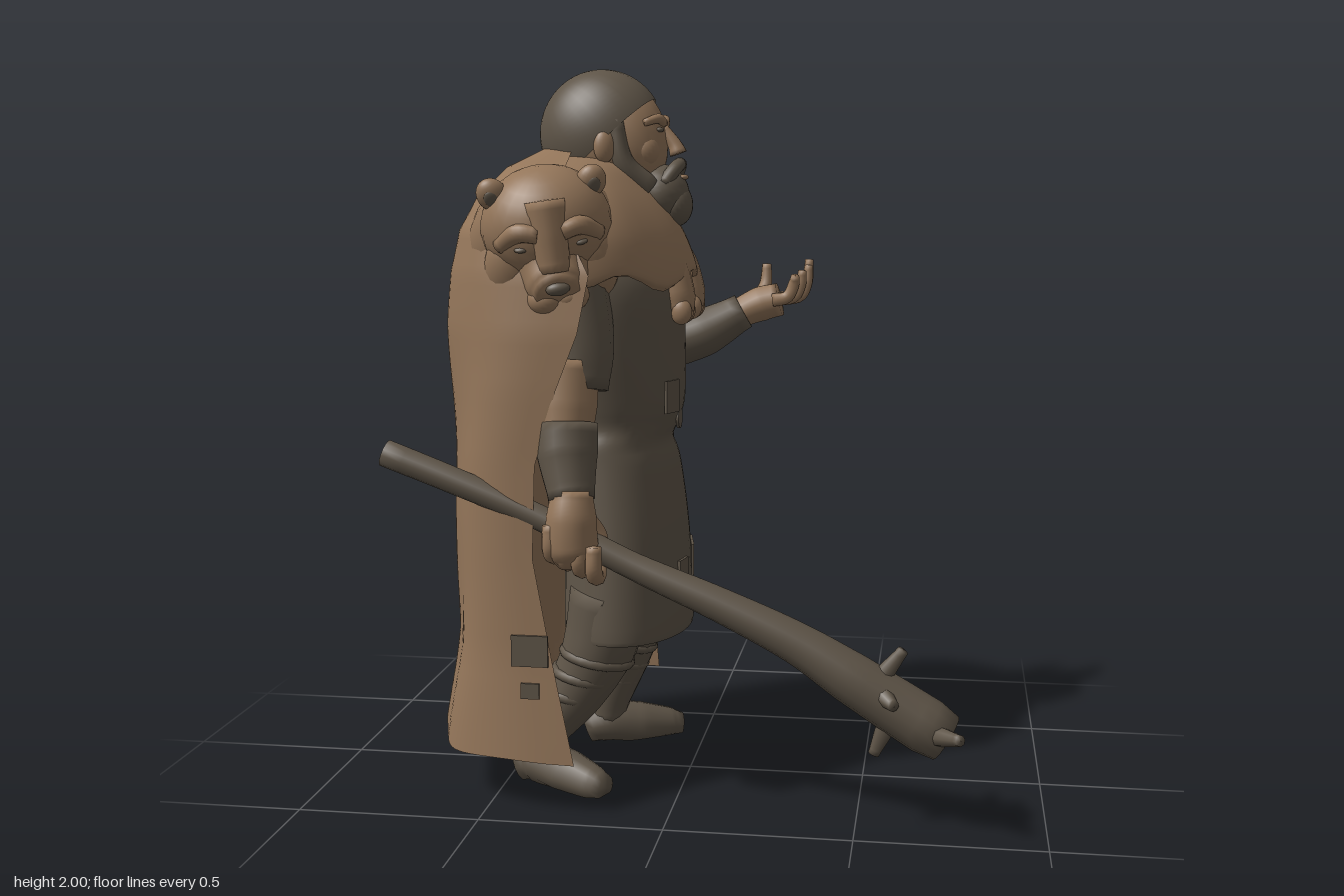
import * as THREE from 'three';
import { mergeVertices } from 'three/addons/utils/BufferGeometryUtils.js';

const tan = new THREE.MeshStandardMaterial({ color: 0x94765a, side: THREE.DoubleSide });
tan.name = 'tan hide and skin';
const dark = new THREE.MeshStandardMaterial({ color: 0x5f5548, side: THREE.DoubleSide });
dark.name = 'dark brown';

const V = (x, y, z) => new THREE.Vector3(x, y, z);

function add(parent, name, geo, mat) {
  const m = new THREE.Mesh(geo, mat);
  m.name = name;
  parent.add(m);
  return m;
}

// Grid of points to a smooth surface
function surface(rows, cols, fn, closed) {
  const pos = [], idx = [], w = closed ? cols : cols + 1;
  for (let j = 0; j <= rows; j++)
    for (let i = 0; i < w; i++) pos.push(...fn(i / cols, j / rows));
  for (let j = 0; j < rows; j++)
    for (let i = 0; i < cols; i++) {
      const k = (i + 1) % w, a = j * w + i, b = j * w + k;
      idx.push(a, a + w, b, b, a + w, b + w);
    }
  const g = new THREE.BufferGeometry();
  g.setAttribute('position', new THREE.Float32BufferAttribute(pos, 3));
  g.setIndex(idx);
  g.computeVertexNormals();
  return g;
}

// Upright body from rings [cx, y, cz, rx, rz]; optional wavy lower edge
function loft(rings, wave = 0) {
  const c = new THREE.CatmullRomCurve3(rings.map(r => V(r[0], r[1], r[2])), false, 'catmullrom');
  const s = new THREE.CatmullRomCurve3(rings.map(r => V(r[3], r[4], 0)), false, 'catmullrom');
  return surface(rings.length * 4, 48, (u, v) => {
    const p = c.getPoint(v), r = s.getPoint(v), a = u * Math.PI * 2;
    const w = wave * Math.sin(a * 7 + 1) * (1 - v) ** 2, k = 1 + w * .5;
    return [p.x + r.x * k * Math.cos(a), p.y + w, p.z + r.y * k * Math.sin(a)];
  }, true);
}

// Rounded limb through [x, y, z, radius]; floor flattens soles
function limb(pts, sides = 14, floor = -Infinity) {
  const curve = new THREE.CatmullRomCurve3(pts.map(p => V(p[0], p[1], p[2])));
  const seg = pts.length * 5, g = new THREE.TubeGeometry(curve, seg, 1, sides);
  const pos = g.attributes.position, v = V(0, 0, 0);
  for (let j = 0; j <= seg; j++) {
    const c = curve.getPointAt(j / seg), t = curve.getUtoTmapping(j / seg) * (pts.length - 1);
    const k = Math.min(Math.floor(t), pts.length - 2);
    let r = THREE.MathUtils.lerp(pts[k][3], pts[k + 1][3], t - k);
    if (j === 0 || j === seg) r = 0.0005;
    // Rings beside the tips move outwards to blunt the ends
    const end = j === 1 ? .25 / seg : j === seg - 1 ? 1 - .25 / seg : j / seg;
    const moved = curve.getPointAt(end);
    for (let i = 0; i <= sides; i++) {
      const n = j * (sides + 1) + i;
      v.fromBufferAttribute(pos, n).sub(c).multiplyScalar(r).add(moved);
      pos.setXYZ(n, v.x, Math.max(floor, v.y), v.z);
    }
  }
  g.deleteAttribute('normal');
  g.deleteAttribute('uv');
  const out = mergeVertices(g, 1e-5);
  out.computeVertexNormals();
  return out;
}

function ball(parent, name, mat, p, r, tilt = [0, 0, 0]) {
  const m = add(parent, name, new THREE.SphereGeometry(1, 24, 16), mat);
  m.position.set(...p);
  m.scale.set(...r);
  m.rotation.set(...tilt);
  return m;
}

const tunicRings = [
  [-.18, .43, -.015, .17, .285], [-.18, .45, -.015, .182, .295], [-.185, .7, -.015, .175, .28],
  [-.205, .9, -.015, .17, .262], [-.22, .97, -.01, .165, .25], [-.215, 1.02, -.01, .178, .235],
  [-.215, 1.09, -.01, .195, .25], [-.23, 1.25, -.01, .21, .285], [-.26, 1.42, -.01, .23, .3],
  [-.3, 1.55, -.02, .2, .25]];

// Thin plate lying on the front of the tunic
function tunicPlate(g, y, z, w, h, round) {
  let i = 0;
  while (tunicRings[i + 1][1] < y) i++;
  const A = tunicRings[i], B = tunicRings[i + 1], t = (y - A[1]) / (B[1] - A[1]);
  const [cx, , cz, rx, rz] = A.map((a, k) => THREE.MathUtils.lerp(a, B[k], t));
  const s = (z - cz) / rz, c = Math.sqrt(1 - s * s);
  const geo = round ? new THREE.CylinderGeometry(w / 2, w / 2, .008, 16).rotateX(Math.PI / 2)
    : new THREE.BoxGeometry(w, h, .008);
  const m = add(g, 'tunicPlate', geo, dark);
  m.position.set(cx + rx * c + .002, y, z);
  m.rotation.y = Math.atan2(c / rx, s / rz);
}

function buildHead(g) {
  ball(g, 'face', tan, [-.205, 1.79, -.04], [.135, .175, .118]);
  ball(g, 'nape', tan, [-.255, 1.79, -.04], [.165, .155, .134]);
  add(g, 'neck', limb([[-.28, 1.5, -.03, .13], [-.22, 1.62, -.035, .12], [-.21, 1.76, -.04, .1]]), tan);
  // Cropped hair, tilted back so the brow and temples stay clear
  const hair = new THREE.SphereGeometry(1, 32, 20, 0, Math.PI * 2, 0, 1.75).rotateZ(.75).scale(.178, .18, .146);
  add(g, 'hair', hair, dark).position.set(-.255, 1.82, -.04);
  add(g, 'nose', limb([[-.085, 1.84, -.04, .014], [-.05, 1.79, -.04, .02], [-.04, 1.765, -.04, .026]]), tan);
  ball(g, 'beard', dark, [-.09, 1.655, -.04], [.08, .085, .092], [0, 0, .35]);
  ball(g, 'beardTip', dark, [-.045, 1.625, -.04], [.045, .06, .068]);
  ball(g, 'lip', tan, [-.026, 1.702, -.04], [.014, .008, .026]);
  for (const s of [1, -1]) {
    const z = d => -.04 + s * d;
    add(g, 'brow', limb([[-.08, 1.85, z(.015), .013], [-.088, 1.862, z(.05), .014], [-.12, 1.85, z(.09), .01]]), tan);
    ball(g, 'eye', dark, [-.086, 1.832, z(.042)], [.012, .007, .017]);
    ball(g, 'cheek', tan, [-.13, 1.775, z(.05)], [.045, .05, .045]);
    ball(g, 'ear', tan, [-.225, 1.785, z(.133)], [.03, .045, .02], [0, s * .4, 0]);
    add(g, 'moustache', limb([[-.035, 1.74, z(0), .018], [-.045, 1.725, z(.035), .02], [-.075, 1.68, z(.065), .02]]), dark);
    add(g, 'sideburn', limb([[-.2, 1.86, z(.112), .022], [-.175, 1.74, z(.105), .03], [-.11, 1.67, z(.07), .035]]), dark);
  }
}

function buildLion(g) {
  const L = new THREE.Group();
  L.name = 'lionHeadHood';
  L.position.set(-.335, 1.55, .31);
  L.rotation.set(.48, .3, 0);
  L.scale.setScalar(1.12);
  g.add(L);
  ball(L, 'lionSkull', tan, [0, .03, 0], [.155, .14, .14]);
  ball(L, 'lionMane', tan, [0, -.05, -.05], [.19, .19, .13]);
  add(L, 'lionMuzzle', limb([[0, .0, .03, .1], [0, -.045, .1, .082], [0, -.062, .15, .068], [0, -.068, .18, .045]], 20), tan);
  ball(L, 'lionJaw', tan, [0, -.135, .08], [.07, .06, .08]);
  add(L, 'lionChinMane', limb([[0, -.08, 0, .12], [.015, -.16, .07, .09], [.025, -.21, .13, .06], [.03, -.23, .15, .03]]), tan);
  ball(L, 'lionNose', dark, [0, -.04, .186], [.028, .016, .016]);
  add(L, 'lionNoseBridge', limb([[0, .13, .07, .05], [0, .055, .11, .045], [0, -.02, .15, .036]]), tan);
  ball(L, 'lionMouth', dark, [0, -.118, .15], [.04, .007, .025]);
  for (const s of [1, -1]) {
    ball(L, 'lionEar', tan, [s * .115, .125, .0], [.036, .042, .028], [0, 0, -s * .4]);
    ball(L, 'lionEarInner', dark, [s * .118, .125, .022], [.017, .021, .008], [0, 0, -s * .4]);
    add(L, 'lionBrow', limb([[s * .025, .07, .125, .02], [s * .07, .075, .11, .023], [s * .115, .03, .075, .02]]), tan);
    ball(L, 'lionEye', dark, [s * .068, .037, .118], [.017, .007, .012]);
    ball(L, 'lionCheek', tan, [s * .085, -.06, .04], [.075, .11, .07]);
    ball(L, 'lionWhiskerPad', tan, [s * .028, -.085, .145], [.045, .038, .042]);
  }
}

function buildCape(g) {
  // Levels: y, back x, right edge x, left edge x, right z, left z
  const levels = [[.14, -.7, -.25, -.18, .44, -.52], [.42, -.655, -.31, -.2, .425, -.505],
    [.7, -.64, -.36, -.2, .425, -.485], [.95, -.64, -.35, -.19, .43, -.48], [1.15, -.65, -.29, -.14, .44, -.49],
    [1.3, -.66, -.23, -.09, .445, -.5], [1.45, -.655, -.2, -.13, .435, -.48], [1.56, -.63, -.26, -.26, .4, -.45],
    [1.65, -.58, -.29, -.29, .34, -.395], [1.73, -.5, -.31, -.31, .2, -.25], [1.78, -.4, -.32, -.32, .06, -.12]];
  const n = levels.length - 1;
  const geo = surface(n * 5, 56, (u, v) => {
    const i = Math.min(n - 1, Math.floor(v * n));
    const [y, xb, xp, xn, zp, zn] = levels[i].map((a, k) => THREE.MathUtils.lerp(a, levels[i + 1][k], v * n - i));
    const s = Math.max(0, Math.sin(u * Math.PI)), xf = THREE.MathUtils.lerp(xp, xn, u);
    // Gentle folds, fuller on the right of the back
    const fold = s * (.012 * Math.sin(u * 22 + y * 3) * (1.2 - y * .6) + .006 * Math.sin(y * 11 + u * 9))
      - .018 * Math.sin(u * Math.PI * 2);
    const z = (zp + zn) / 2 + (zp - zn) / 2 * Math.cos(u * Math.PI);
    const hem = .006 * Math.sin(u * 20) * Math.max(0, 1 - v * 5);
    return [xf - (xf - xb) * Math.pow(s, .62) + fold, y + hem, z];
  }, false);
  add(g, 'cape', geo, tan);
  add(g, 'mantle', loft([[-.31, 1.42, -.03, .305, .41], [-.31, 1.44, -.03, .32, .425], [-.31, 1.53, -.03, .29, .425],
    [-.315, 1.61, -.03, .25, .39], [-.32, 1.68, -.03, .2, .32], [-.32, 1.74, -.03, .14, .2],
    [-.32, 1.765, -.03, .06, .08]], .025), tan);
  ball(g, 'collar', dark, [-.065, 1.505, .02], [.055, .042, .08]);
  add(g, 'capeSleeve', limb([[-.32, 1.42, -.36, .1], [-.2, 1.36, -.385, .12], [-.08, 1.27, -.41, .095]]), tan);
  // Hide paws knotted on the chest
  for (const z of [.06, -.13]) {
    add(g, 'hidePaw', limb([[-.11, 1.55, z * 1.1, .04], [-.05, 1.46, z, .048], [-.03, 1.38, z, .052], [-.025, 1.33, z, .045]]), tan);
    for (const d of [-.033, 0, .033]) ball(g, 'pawToe', tan, [-.012, 1.335, z + d], [.03, .036, .021]);
  }
  for (const [y, w] of [[.45, .1], [.34, .05]])
    add(g, 'capePatch', new THREE.BoxGeometry(w, w * .85, .008), dark).position.set(-.37, y, .43);
}

function buildLegs(g) {
  for (const [z, s, dx] of [[.16, 1, -.12], [-.21, -1, 0]]) {
    add(g, 'leg', limb([[-.2, .56, z, .115], [-.21 + dx * .2, .4, z, .105], [-.24 + dx * .5, .27, z, .085],
      [-.28 + dx, .13, z, .062], [-.29 + dx, .05, z, .05]]), dark);
    // Wrapped leggings
    for (let i = 0; i < 4; i++) {
      const b = add(g, 'legWrap', new THREE.TorusGeometry(.094 - i * .011, .015, 8, 24), dark);
      b.position.set(-.212 - i * .016 + dx * (.25 + i * .17), .37 - i * .055, z);
      b.rotation.set(Math.PI / 2, -.2, 0);
    }
    add(g, 'boot', limb([[-.35 + dx, .04, z - s * .01, .05], [-.3 + dx, .055, z, .063], [-.2 + dx, .04, z + s * .05, .065],
      [-.11 + dx, .025, z + s * .1, .05], [-.075 + dx, .02, z + s * .115, .03]], 14, 0), dark);
  }
}

function buildArms(g) {
  // Lowered right arm gripping the club
  add(g, 'rightSleeve', limb([[-.3, 1.42, .28, .12], [-.26, 1.25, .31, .1], [-.26, 1.14, .33, .085]]), dark);
  add(g, 'rightElbow', limb([[-.28, 1.22, .335, .088], [-.28, 1.1, .36, .085], [-.28, 1.02, .38, .075]]), tan);
  add(g, 'rightBracer', limb([[-.275, 1.06, .37, .084], [-.27, .98, .39, .083], [-.25, .86, .43, .06]]), dark);
  add(g, 'rightHand', limb([[-.25, .89, .43, .054], [-.25, .82, .44, .068], [-.25, .74, .435, .072], [-.24, .7, .425, .045]]), tan);
  for (let i = 0; i < 4; i++) {
    const x = -.3 + i * .038, y = .785 - i * .018;
    add(g, 'rightFinger', limb([[x, y + .02, .47, .022], [x, y - .05, .468, .024], [x, y - .075, .41, .022], [x, y - .05, .37, .016]], 8), tan);
  }
  add(g, 'rightThumb', limb([[-.23, .82, .4, .028], [-.19, .76, .38, .024], [-.18, .71, .4, .02]], 8), tan);
  // Raised left arm with open palm
  add(g, 'leftBracer', limb([[-.12, 1.2, -.42, .078], [-.02, 1.235, -.425, .075], [.1, 1.3, -.44, .053]]), dark);
  add(g, 'leftPalm', limb([[.08, 1.29, -.435, .045], [.15, 1.32, -.445, .054], [.21, 1.335, -.445, .05]]), tan);
  for (let i = 0; i < 4; i++) {
    const z = -.49 + i * .033, r = .27 + .02 * Math.sin(i + 1);
    add(g, 'leftFinger', limb([[.19, 1.335, z, .02], [r - .02, 1.345, z, .018], [r, 1.385, z, .017],
      [r + .005, 1.455 - i * .015, z + (i - 1.5) * .008, .012]], 8), tan);
  }
  add(g, 'leftThumb', limb([[.13, 1.33, -.48, .024], [.155, 1.37, -.51, .021], [.16, 1.44, -.52, .014]], 8), tan);
}

function buildClub(g) {
  add(g, 'club', limb([[-.775, .975, .4, .037], [-.6, .91, .4, .036], [-.35, .81, .4, .034], [-.1, .69, .405, .036], [.15, .585, .405, .046],
    [.35, .49, .405, .056], [.48, .41, .405, .068], [.6, .335, .4, .073], [.69, .28, .4, .075], [.74, .25, .4, .05]]), dark);
  const knots = [[.54, .38, .4, .62, .49, .41], [.59, .31, .4, .545, .2, .4], [.62, .32, .37, .645, .33, .27],
    [.7, .27, .43, .77, .29, .525], [.56, .38, .43, .6, .36, .49]];
  for (const [a, b, c, d, e, f] of knots)
    add(g, 'clubKnot', limb([[a, b, c, .03], [(a + d) / 2, (b + e) / 2, (c + f) / 2, .023], [d, e, f, .014]], 8), dark);
}

export function createModel() {
  const g = new THREE.Group();
  g.name = 'clubBearer';
  add(g, 'tunic', loft(tunicRings), dark);
  add(g, 'tunicHem', surface(1, 48, (u, v) => {
    const a = -u * Math.PI * 2;
    return [-.18 + .17 * v * Math.cos(a), .43, -.015 + .285 * v * Math.sin(a)];
  }, true), dark);
  for (const [y, z, w, h, round] of [[.59, .07, .07, .09], [.61, -.1, .14, .09], [.63, -.25, .06, .09],
    [1.1, .1, .07, .09], [1.03, 0, .065, 0, true], [1.02, -.09, .065, 0, true], [1.02, -.18, .06, .09]])
    tunicPlate(g, y, z, w, h, round);
  buildHead(g);
  buildCape(g);
  buildLion(g);
  buildLegs(g);
  buildArms(g);
  buildClub(g);
  return g;
}
